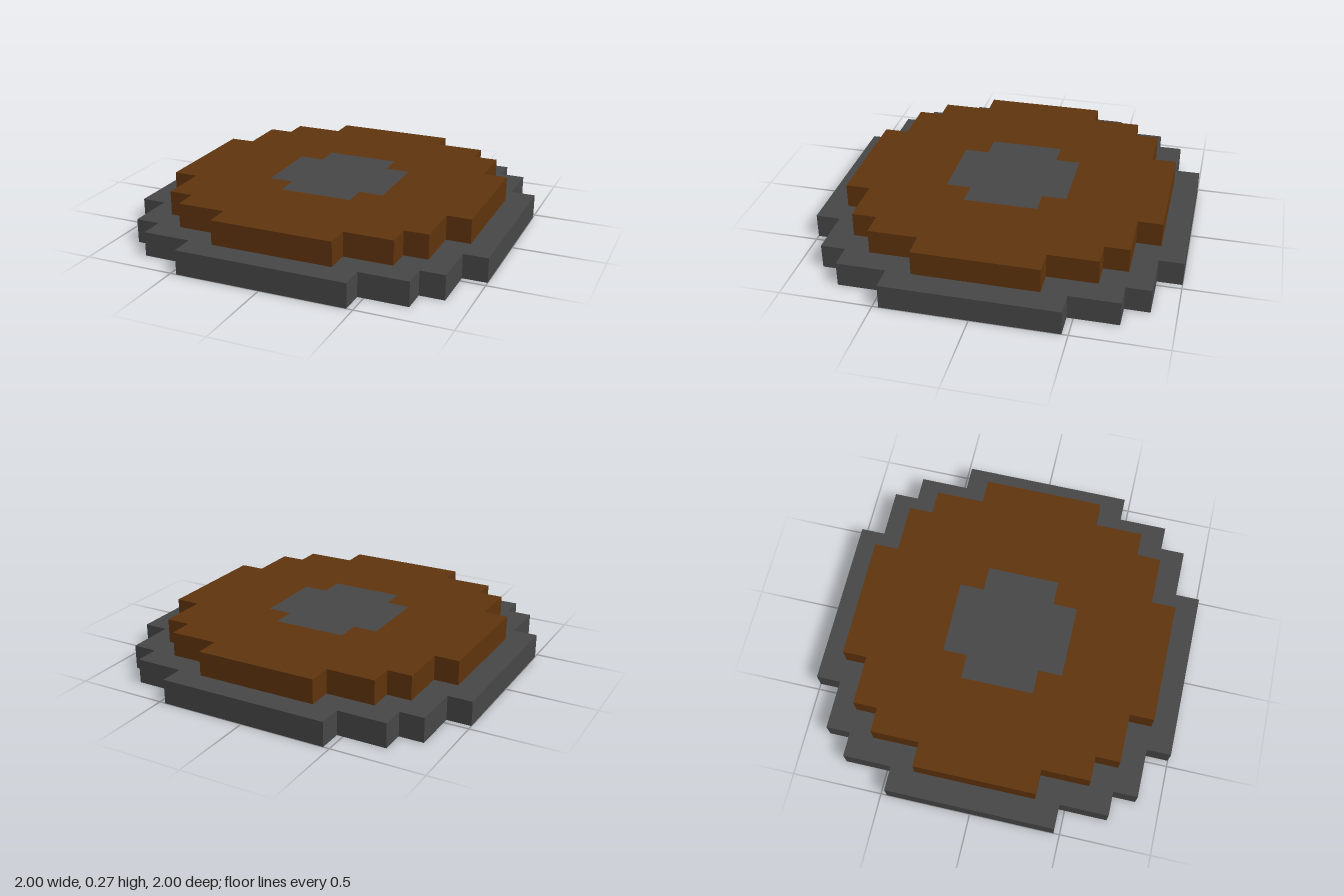
import * as THREE from 'three';

const U = 2 / 15; // one grid cell; the disc is 15 cells wide

// One quadrant of each stepped outline, in cells, from the +x side round to the +y side
const OUTER = [[7.5, 3.5], [6.5, 3.5], [6.5, 5.5], [5.5, 5.5], [5.5, 6.5], [3.5, 6.5], [3.5, 7.5]];
const INNER = [[6.5, 2.5], [5.5, 2.5], [5.5, 4.5], [4.5, 4.5], [4.5, 5.5], [2.5, 5.5], [2.5, 6.5]];
const CROSS = [[2.5, 1.5], [1.5, 1.5], [1.5, 2.5]];
const PIN = [[0.5, 0.5]];

// Turn a quadrant through four right angles to close the outline
function outline(quadrant) {
  const points = [];
  for (let i = 0; i < 4; i++) {
    for (const [x, y] of quadrant) {
      const [a, b] = [[x, y], [-y, x], [-x, -y], [y, -x]][i];
      points.push(new THREE.Vector2(a * U, b * U));
    }
  }
  return points;
}

// A one-cell-thick stepped slab, optionally with a stepped opening
function slab(name, quadrant, hole, layer, material) {
  const shape = new THREE.Shape(outline(quadrant));
  if (hole) shape.holes.push(new THREE.Path(outline(hole)));
  const geometry = new THREE.ExtrudeGeometry(shape, { depth: U, bevelEnabled: false });
  geometry.rotateX(-Math.PI / 2).translate(0, layer * U, 0);
  const mesh = new THREE.Mesh(geometry, material);
  mesh.name = name;
  return mesh;
}

export function createModel() {
  const paint = (name, color) => {
    const material = new THREE.MeshStandardMaterial({ color });
    material.name = name;
    return material;
  };
  const darkGrey = paint('darkGrey', 0x474747);
  const lightGrey = paint('lightGrey', 0x7a7a7a);
  const brown = paint('brown', 0x60340d);

  const group = new THREE.Group();
  group.name = 'steppedDisc';
  group.add(
    // Lower layer: rim with nested flush inlays on the underside
    slab('baseRim', OUTER, INNER, 0, darkGrey),
    slab('undersideInlay', INNER, CROSS, 0, lightGrey),
    slab('undersideCross', CROSS, PIN, 0, darkGrey),
    slab('undersidePin', PIN, null, 0, lightGrey),
    // Upper layer: brown plate around a flush grey cross
    slab('topPlate', INNER, CROSS, 1, brown),
    slab('topCross', CROSS, null, 1, darkGrey),
  );
  return group;
}
